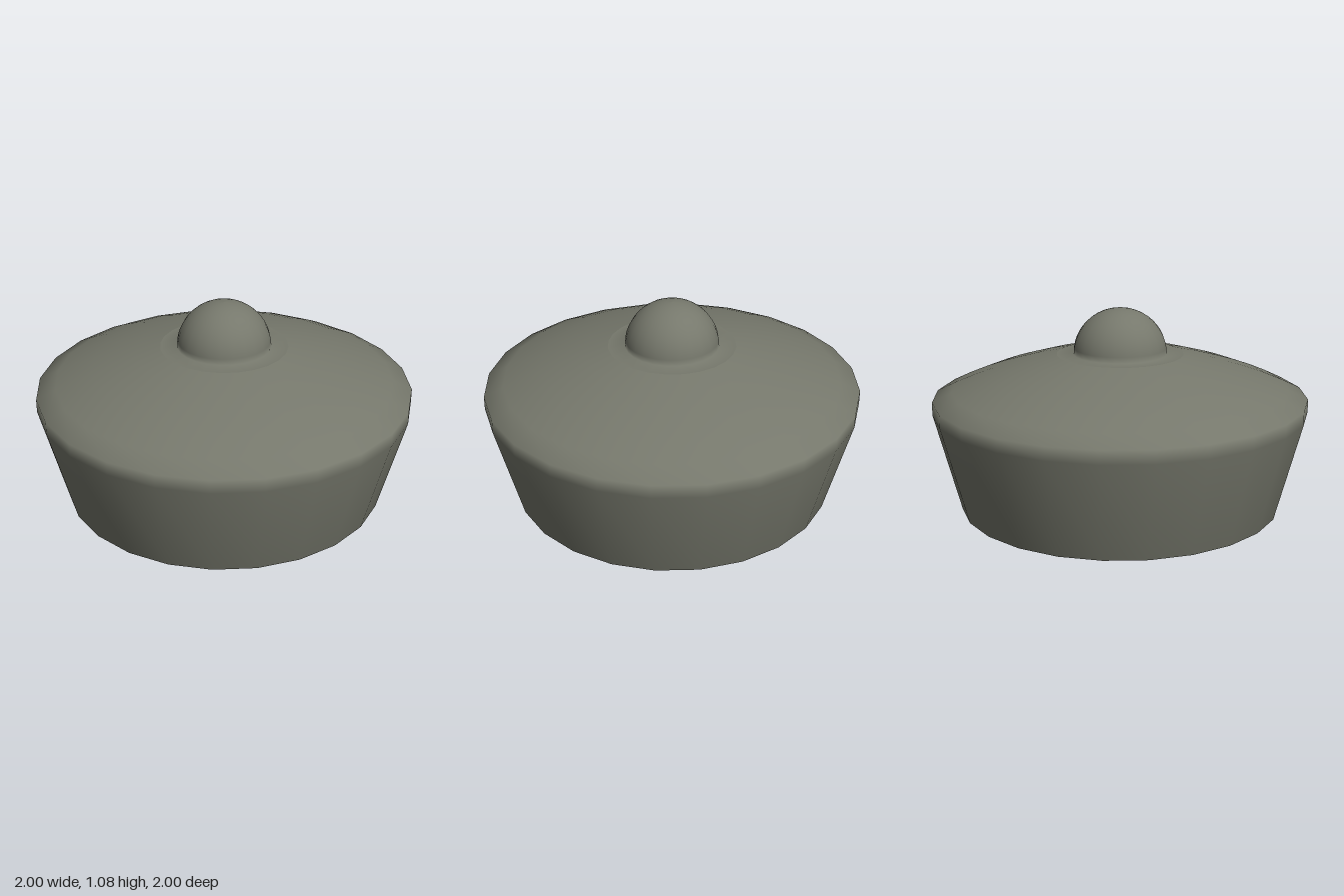
import * as THREE from 'three';

const START = THREE.MathUtils.degToRad(10);

export function createModel() {
  const model = new THREE.Group();
  const felt = new THREE.MeshStandardMaterial({ color: 0x76786c });
  felt.name = 'greyGreenFelt';

  function lathe(name, points) {
    const profile = points.map(([r, y]) => new THREE.Vector2(r, y));
    const mesh = new THREE.Mesh(new THREE.LatheGeometry(profile, 24, START), felt);
    mesh.name = name;
    model.add(mesh);
  }

  // Hat shell, listed from the inner ceiling, down the lining, round the lip, up to the crown
  lathe('hatShell', [
    [0, 0.77], [0.34, 0.77], [0.6, 0.7], [0.8, 0.63], [0.94, 0.56], [0.94, 0.52],
    [0.81, 0.02], [0.82, 0], [0.863, 0], [1.003, 0.53], [1.003, 0.6],
    [0.9, 0.65], [0.8, 0.693], [0.7, 0.73], [0.6, 0.762], [0.47, 0.8], [0.34, 0.83],
  ]);

  // Round knob with the flat collar that blends it into the crown
  const dome = [];
  for (let i = 0; i <= 12; i++) {
    const a = (i / 12) * Math.PI / 2;
    dome.push([0.25 * Math.cos(a), 0.83 + 0.245 * Math.sin(a)]);
  }
  lathe('topKnob', [[0.34, 0.83], ...dome]);

  return model;
}
